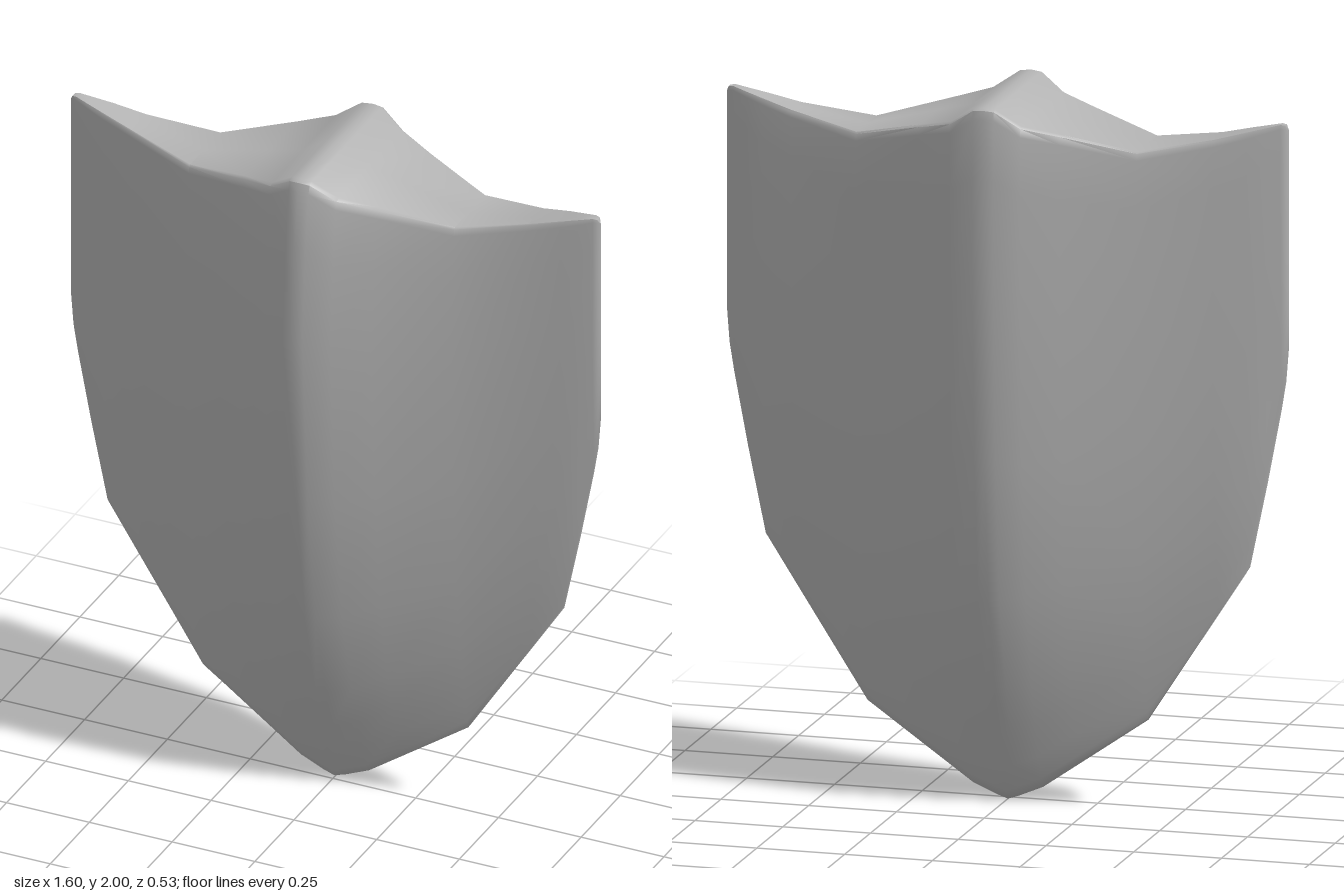
import * as THREE from 'three';
import { toCreasedNormals } from 'three/addons/utils/BufferGeometryUtils.js';

// Half of the outline, centre to side: x, bottom y, top y, front depth, back depth
const COLUMNS = [
  [0, 0, 2, 0.285, 0.248],
  [0.03, 0.01, 1.997, 0.28, 0.246],
  [0.1, 0.04, 1.95, 0.25, 0.226],
  [0.2, 0.11, 1.925, 0.2, 0.185],
  [0.4, 0.25, 1.875, 0.11, 0.115],
  [0.6, 0.56, 1.91, 0.05, 0.06],
  [0.69, 0.7, 1.933, 0.033, 0.04],
  [0.74, 0.94, 1.945, 0.022, 0.026],
  [0.78, 1.15, 1.955, 0.013, 0.014],
  [0.793, 1.23, 1.953, 0.009, 0.01],
  [0.8, 1.32, 1.94, 0, 0],
];

// Swell of the faces from bottom to top: height fraction, front, back
const SWELL = [
  [0.004, 0.05, 0.05],
  [0.015, 0.09, 0.1],
  [0.05, 0.18, 0.2],
  [0.1, 0.31, 0.33],
  [0.165, 0.46, 0.5],
  [0.3, 0.7, 0.76],
  [0.5, 0.88, 0.92],
  [0.76, 1, 1],
  [0.9, 0.93, 1],
  [0.985, 0.86, 0.99],
  [0.997, 0.83, 0.97],
  [1, 0.78, 0.93],
];
const EDGE_Z = -0.02;

// Closed section at one x: bottom point, up the front, over the top, down the back
function section([x, bottom, top, front, back], side) {
  const point = (s, dz) => [x * side, bottom + (top - bottom) * s, EDGE_Z + dz];
  return [
    point(0, 0),
    ...SWELL.map(([s, f]) => point(s, f * front)),
    point(1, 0),
    ...SWELL.map(([s, , b]) => point(s, -b * back)).reverse(),
  ];
}

function shieldGeometry() {
  const sections = [
    ...COLUMNS.slice(1).reverse().map((c) => section(c, -1)),
    ...COLUMNS.map((c) => section(c, 1)),
  ];
  const n = sections[0].length;
  const index = [];
  for (let i = 0; i < sections.length - 1; i++) {
    for (let j = 0; j < n; j++) {
      const k = (j + 1) % n;
      const a = i * n + j, b = a + n, d = i * n + k, c = d + n;
      // Mirror the diagonals about the centre line
      if (i < COLUMNS.length - 1) index.push(a, b, d, b, c, d);
      else index.push(a, b, c, a, c, d);
    }
  }
  const geometry = new THREE.BufferGeometry();
  geometry.setAttribute('position', new THREE.Float32BufferAttribute(sections.flat(2), 3));
  geometry.setIndex(index);
  return toCreasedNormals(geometry, 0.75);
}

export function createModel() {
  const steel = new THREE.MeshStandardMaterial({ color: 0xb4b4b4 });
  steel.name = 'plain grey';
  const body = new THREE.Mesh(shieldGeometry(), steel);
  body.name = 'shieldBody';
  const group = new THREE.Group();
  group.name = 'shield';
  group.add(body);
  return group;
}
